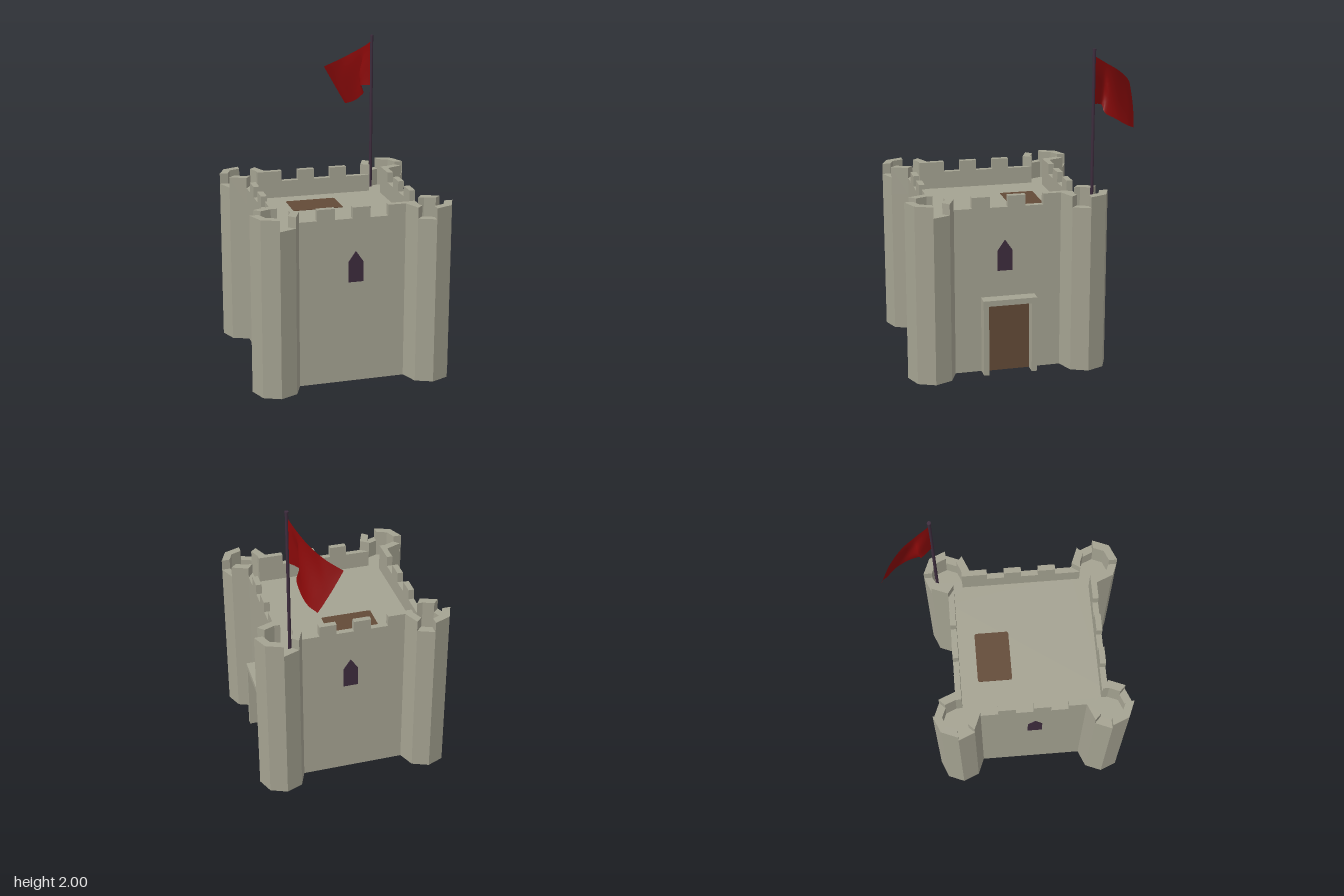
import * as THREE from 'three';

const A = 0.485;        // half width of the keep
const R = 0.15;         // tower outer radius
const r = 0.096;        // tower parapet inner radius
const T = 0.038;        // wall parapet thickness
const CZ = 0.115;       // keep centre in z
const FLOOR = 0.95, LOW = 1.063, HIGH = 1.132;

const mat = (name, color, side = THREE.FrontSide) => {
  const m = new THREE.MeshStandardMaterial({ color, side });
  m.name = name;
  return m;
};

export function createModel() {
  const stone = mat('stone', 0xa4a291, THREE.DoubleSide);
  const wood = mat('wood', 0x634a37);
  const dark = mat('dark metal', 0x3d2c3d);
  const red = mat('flag red', 0x880909, THREE.DoubleSide);

  const model = new THREE.Group();
  model.name = 'castle';
  const add = (parent, name, geo, material) => {
    const m = new THREE.Mesh(geo, material);
    m.name = name;
    parent.add(m);
  };
  const shapeOf = pts => new THREE.Shape(pts.map(([x, y]) => new THREE.Vector2(x, y)));
  const planShape = pts => shapeOf(pts.map(([x, z]) => [x, -z]));
  // Upright prism from a plan outline given as [x, z]
  const prism = (pts, y0, y1) =>
    new THREE.ExtrudeGeometry(planShape(pts), { depth: y1 - y0, bevelEnabled: false })
      .rotateX(-Math.PI / 2).translate(0, y0, 0);
  const towerPoint = (k, rad) =>
    [A + rad * Math.cos(k * Math.PI / 4), A + rad * Math.sin(k * Math.PI / 4)];

  const keep = new THREE.Group();
  keep.name = 'keep';
  keep.position.z = CZ;
  model.add(keep);

  const windowOffsets = [0.02, -0.018, -0.02, 0.015];
  const windowShape = shapeOf([[-0.047, 0.657], [0.047, 0.657], [0.047, 0.787], [0, 0.855], [-0.047, 0.787]]);
  const floorOutline = [];

  // Four sides, each with a wall, a corner tower, battlements and a window
  for (let s = 0; s < 4; s++) {
    const side = new THREE.Group();
    side.name = 'castleSide';
    side.rotation.y = s * Math.PI / 2;
    keep.add(side);

    add(side, 'wall', new THREE.PlaneGeometry(2 * A, FLOOR).translate(0, FLOOR / 2, A), stone);

    const tower = new THREE.CylinderGeometry(R, R, FLOOR, 6, 1, true, -Math.PI / 2, Math.PI * 1.5)
      .translate(A, FLOOR / 2, A).toNonIndexed();
    tower.computeVertexNormals();
    add(side, 'tower', tower, stone);

    // Tower parapet: two of the six faces are lowered
    for (let k = -2; k < 4; k++) {
      const pts = [towerPoint(k, R), towerPoint(k + 1, R)];
      if (k === 3) pts.push([A - r, A - T]);
      pts.push(towerPoint(k + 1, r), towerPoint(k, r));
      if (k === -2) pts.push([A - T, A - r]);
      const low = k === -1 || k === 2;
      add(side, low ? 'towerGap' : 'towerMerlon', prism(pts, FLOOR, low ? LOW : HIGH), stone);
    }

    // Wall parapet: six sections, alternately low and high
    const half = A - R, w = half / 3;
    for (let i = 0; i < 6; i++) {
      const x0 = -half + i * w, x1 = x0 + w;
      const in0 = i === 0 ? -(A - r) : x0, in1 = i === 5 ? A - r : x1;
      const low = i % 2 === 0;
      add(side, low ? 'wallGap' : 'wallMerlon',
        prism([[x0, A], [x1, A], [in1, A - T], [in0, A - T]], FLOOR, low ? LOW : HIGH), stone);
    }

    add(side, 'window', new THREE.ExtrudeGeometry(windowShape, { depth: 0.005, bevelEnabled: false })
      .translate(windowOffsets[s], 0, A), dark);

    // Collect the outline of the roof floor
    for (let k = 4; k >= -2; k--) {
      const [x, z] = towerPoint(k, R);
      const c = Math.round(Math.cos(s * Math.PI / 2)), n = Math.round(Math.sin(s * Math.PI / 2));
      floorOutline.push([x * c + z * n, -x * n + z * c]);
    }
  }
  add(keep, 'roofFloor', new THREE.ShapeGeometry(planShape(floorOutline))
    .rotateX(-Math.PI / 2).translate(0, FLOOR, 0), stone);

  // Doorway on the left side
  const door = new THREE.Group();
  door.name = 'doorway';
  door.position.set(A, 0, CZ);
  door.rotation.y = Math.PI / 2;
  model.add(door);
  const frame = shapeOf([[-0.17, 0], [-0.136, 0], [-0.136, 0.454], [0.136, 0.454],
    [0.136, 0], [0.17, 0], [0.17, 0.49], [-0.17, 0.49]]);
  add(door, 'doorFrame', new THREE.ExtrudeGeometry(frame, { depth: 0.077, bevelEnabled: false }), stone);
  add(door, 'door', new THREE.BoxGeometry(0.272, 0.454, 0.006).translate(0, 0.227, 0.003), wood);

  // Trapdoor with clipped corners
  const c = 0.008, x0 = -0.223, x1 = 0.109, z0 = -0.22, z1 = 0.002;
  add(model, 'trapdoor', prism([[x0 + c, z0], [x1 - c, z0], [x1, z0 + c], [x1, z1 - c],
    [x1 - c, z1], [x0 + c, z1], [x0, z1 - c], [x0, z0 + c]], FLOOR, FLOOR + 0.003), wood);

  // Flagpole
  add(model, 'flagpole', new THREE.CylinderGeometry(0.01, 0.01, 2 - FLOOR, 10)
    .translate(0.428, 1 + FLOOR / 2, -0.435), dark);
  add(model, 'flagpoleCap', new THREE.CylinderGeometry(0.0125, 0.0125, 0.01, 10)
    .translate(0.428, 1.995, -0.435), dark);

  // Flag: lofted between its top and bottom edges, with soft folds
  const curve = pts => new THREE.CatmullRomCurve3(pts.map(p => new THREE.Vector3(...p)));
  const top = curve([[0.425, 1.958, -0.437], [0.39, 1.908, -0.52], [0.343, 1.856, -0.61],
    [0.27, 1.798, -0.69], [0.18, 1.745, -0.748]]);
  const bottom = curve([[0.425, 1.66, -0.437], [0.39, 1.655, -0.475], [0.37, 1.643, -0.508],
    [0.397, 1.602, -0.515], [0.4, 1.56, -0.585], [0.375, 1.507, -0.675], [0.33, 1.48, -0.733]]);
  const flag = new THREE.PlaneGeometry(1, 1, 28, 12);
  const pos = flag.attributes.position;
  for (let i = 0; i < pos.count; i++) {
    const u = pos.getX(i) + 0.5, v = 0.5 - pos.getY(i);
    const p = top.getPointAt(u).lerp(bottom.getPointAt(u), v);
    const bulge = Math.sin(Math.PI * v);
    const fold = 0.016 * Math.sin(9 * u - 5 * v) * Math.sin(Math.PI * u) * bulge;
    pos.setXYZ(i, p.x + fold, p.y, p.z + fold * 0.5 - 0.008 * bulge * u);
  }
  flag.computeVertexNormals();
  add(model, 'flag', flag, red);

  return model;
}
